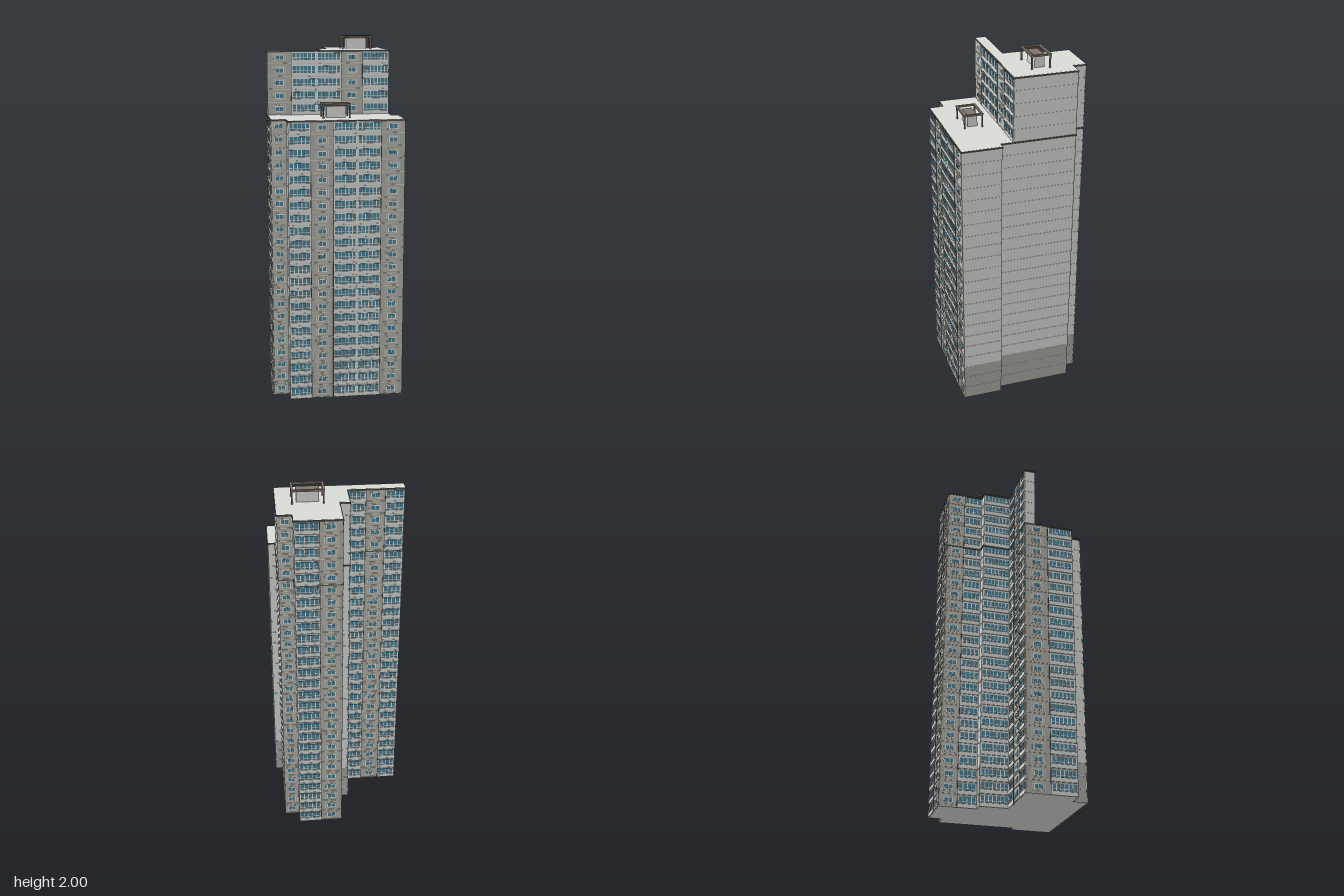
import * as THREE from 'three';
import { mergeGeometries } from 'three/addons/utils/BufferGeometryUtils.js';

const mat = (name, color) => Object.assign(new THREE.MeshStandardMaterial({ color }), { name });

const FLOOR = 1.92 / 27, LOW = 22, HIGH = 27, BASE = 3;

// Plan corners [x, z], going round so that each edge runs left to right seen from outside
const P = {
  I: [-0.295, 0.279], H: [0.342, 0.279], G: [0.342, 0.06], F: [0.303, 0.06],
  D: [0.303, -0.363], C: [0.223, -0.363], B: [0.223, -0.437], A: [-0.02, -0.437],
  O: [-0.02, -0.235], N: [-0.074, -0.235], M: [-0.074, -0.074], L: [-0.38, -0.074],
  K: [-0.38, 0.2], J: [-0.295, 0.2],
  S: [-0.38, -0.017], T: [0.303, -0.017], // ends of the step between the two roofs
};
const lowPlan = [...'IHGFDCBAONMLKJ'].map((k) => P[k]);
const highPlan = [...'STDCBAONML'].map((k) => P[k]);

export function createModel() {
  const m = {
    wall: mat('light wall', 0xd8dad6),
    base: mat('base grey', 0xa7a7a2),
    panel: mat('panel grey', 0xadaca5),
    trim: mat('dark trim', 0x58534f),
    frame: mat('window frame', 0xe6e5e0),
    glass: mat('blue glass', 0x4b8298),
    band: mat('beige band', 0xcfc8bb),
    brown: mat('brown cap', 0x80746c),
  };
  const model = new THREE.Group();
  model.name = 'apartmentTower';
  const tower = new THREE.Group();
  tower.name = 'tower';
  tower.rotation.y = -0.447;
  model.add(tower);

  // Vertical prism over a plan; the material may be a [caps, sides] pair
  const prism = (name, plan, y0, y1, material) => {
    const shape = new THREE.Shape(plan.map(([x, z]) => new THREE.Vector2(x, -z)));
    const geo = new THREE.ExtrudeGeometry(shape, { depth: y1 - y0, bevelEnabled: false });
    geo.rotateX(-Math.PI / 2).translate(0, y0, 0);
    const mesh = new THREE.Mesh(geo, material);
    mesh.name = name;
    tower.add(mesh);
  };

  // Push every edge of a plan outward by d
  const normal = (s, t) => [-Math.sign(Math.round((t[1] - s[1]) * 1e3)), Math.sign(Math.round((t[0] - s[0]) * 1e3))];
  const grow = (plan, d) => plan.map((p, i) => {
    const n1 = normal(plan.at(i - 1), p), n2 = normal(p, plan[(i + 1) % plan.length]);
    return [p[0] + d * (n1[0] + n2[0]), p[1] + d * (n1[1] + n2[1])];
  });

  // Collects boxes by colour, then makes one mesh for each colour
  const collector = () => {
    const bins = {};
    return {
      box(key, w, h, d, x, y, z) {
        (bins[key] ??= []).push(new THREE.BoxGeometry(w, h, d).translate(x, y, z));
      },
      build(name) {
        const group = new THREE.Group();
        group.name = name;
        for (const key in bins) {
          const mesh = new THREE.Mesh(mergeGeometries(bins[key]), m[key]);
          mesh.name = name + key[0].toUpperCase() + key.slice(1);
          group.add(mesh);
        }
        return group;
      },
    };
  };

  // Bay with one small window per floor, set in an outlined field
  const panelBay = (c, x0, x1, f0, f1) => {
    const w = x1 - x0, x = (x0 + x1) / 2;
    const fw = Math.min(0.05, w * 0.56), pane = fw * 0.38;
    const split = Math.max(f0, BASE);
    if (f0 < BASE) c.box('base', w, (BASE - f0) * FLOOR, 0.004, x, (f0 + BASE) / 2 * FLOOR, 0.001);
    c.box('panel', w, (f1 - split) * FLOOR, 0.004, x, (split + f1) / 2 * FLOOR, 0.001);
    for (let f = f0; f < f1; f++) {
      const y = (f + 0.53) * FLOOR;
      c.box('band', fw + 0.022, 0.046, 0.004, x, y, 0.0015);
      c.box(f < BASE ? 'base' : 'panel', fw + 0.015, 0.04, 0.004, x, y, 0.0022);
      c.box('frame', fw, 0.03, 0.004, x, y, 0.003);
      for (const s of [-1, 1]) c.box('glass', pane, 0.022, 0.004, x + s * fw * 0.22, y, 0.004);
      c.box('band', w, 0.004, 0.005, x, (f + 0.04) * FLOOR, 0.003);
    }
  };

  // Glazed balcony bay: light parapets with a mullioned glass strip per floor
  const balconyBay = (c, x0, x1, f0, f1) => {
    const w = x1 - x0, x = (x0 + x1) / 2, gw = w - 0.012;
    const n = Math.max(2, Math.round(gw / 0.021));
    for (let f = f0; f < f1; f++) {
      const y = (f + 0.58) * FLOOR;
      c.box('glass', gw, 0.038, 0.004, x, y, 0.002);
      for (let i = 0; i <= n; i++) c.box('frame', 0.004, 0.038, 0.004, x - gw / 2 + gw * i / n, y, 0.004);
      c.box('frame', gw, 0.003, 0.004, x, y - 0.008, 0.0035);
      c.box('wall', w, 0.02, 0.005, x, (f + 0.16) * FLOOR, 0.003);
      c.box('band', w, 0.004, 0.005, x, (f + 0.02) * FLOOR, 0.004);
    }
  };

  // Blank wall with a slim ledge at every floor
  const blankBay = (c, x0, x1, f0, f1) => {
    for (let f = f0 + 1; f < f1; f++) {
      c.box('wall', x1 - x0, 0.003, 0.002, (x0 + x1) / 2, f * FLOOR, 0.0005);
    }
  };

  const kinds = { p: panelBay, b: balconyBay, w: blankBay };

  // Dress the wall from a to b with bays given as [kind, relative width]
  const facade = (name, a, b, f0, f1, bays) => {
    const c = collector();
    const len = Math.hypot(b[0] - a[0], b[1] - a[1]);
    const total = bays.reduce((s, bay) => s + bay[1], 0);
    let x = 0;
    bays.forEach(([kind, share], i) => {
      const next = x + len * share / total;
      kinds[kind](c, x, next, f0, f1);
      // Dividers: light between two balconies, dark elsewhere
      if (i) {
        const light = kind === 'b' && bays[i - 1][0] === 'b';
        c.box(light ? 'wall' : 'trim', light ? 0.008 : 0.003, (f1 - f0) * FLOOR, 0.006, x, (f0 + f1) / 2 * FLOOR, 0.003);
      }
      x = next;
    });
    const group = c.build(name);
    group.position.set(a[0], 0, a[1]);
    group.rotation.y = Math.atan2(a[1] - b[1], b[0] - a[0]);
    tower.add(group);
  };

  // Main masses, cornices and roofs
  const lowY = LOW * FLOOR, highY = HIGH * FLOOR, baseY = BASE * FLOOR;
  prism('plinth', lowPlan, 0, baseY, [m.wall, m.base]);
  prism('lowerBlock', lowPlan, baseY, lowY, m.wall);
  prism('upperBlock', highPlan, lowY, highY, m.wall);
  for (const [name, plan, y] of [['lower', lowPlan, lowY], ['upper', highPlan, highY]]) {
    prism(name + 'Cornice', grow(plan, 0.005), y - 0.006, y + 0.002, m.trim);
    prism(name + 'Roof', plan, y, y + 0.003, m.wall);
  }

  // Front
  facade('frontFacade', P.I, P.H, 0, LOW, [['b', 0.122], ['p', 0.122], ['b', 0.131], ['b', 0.131], ['p', 0.131]]);
  facade('frontRecess', P.K, P.J, 0, LOW, [['p', 1]]);
  facade('upperFront', P.S, P.T, LOW, HIGH, [['p', 0.133], ['b', 0.14], ['b', 0.14], ['p', 0.12], ['b', 0.15]]);
  // Blank end walls
  facade('endWallFront', P.H, P.G, 0, LOW, [['w', 1]]);
  facade('endWallStep', P.G, P.F, 0, LOW, [['w', 1]]);
  facade('endWallRear', P.F, P.D, 0, LOW, [['w', 1]]);
  facade('upperEndWall', P.T, P.D, LOW, HIGH, [['w', 1]]);
  facade('rearStepWall', P.C, P.B, 0, HIGH, [['w', 1]]);
  facade('rearNotchWall', P.O, P.N, 0, HIGH, [['w', 1]]);
  facade('recessWall', P.J, P.I, 0, LOW, [['w', 1]]);
  facade('upperStripEnd', P.L, P.S, LOW, HIGH, [['w', 1]]);
  // Back and the far side
  facade('rearRecess', P.D, P.C, 0, HIGH, [['p', 1]]);
  facade('rearFacade', P.B, P.A, 0, HIGH, [['b', 1.1], ['p', 1]]);
  facade('wingSide', P.A, P.O, 0, HIGH, [['p', 1], ['b', 1.1]]);
  facade('courtSide', P.N, P.M, 0, HIGH, [['b', 1]]);
  facade('courtRear', P.M, P.L, 0, HIGH, [['b', 1], ['p', 1], ['b', 1]]);
  facade('farSide', P.L, P.K, 0, LOW, [['p', 1], ['b', 1.1]]);

  // Rooftop hut inside an open frame on four posts
  const roofHouse = (name, x, z, y, w, d, hutW, top) => {
    const c = collector(), h = top - y, t = 0.012;
    c.box('wall', hutW, h - 0.018, 0.054, 0, (h - 0.018) / 2, 0);
    c.box('brown', hutW + 0.002, 0.005, 0.056, 0, h - 0.0155, 0);
    for (const s of [-1, 1]) {
      c.box('brown', w, 0.01, t, 0, h - 0.005, s * (d - t) / 2);
      c.box('brown', t, 0.01, d - 2 * t, s * (w - t) / 2, h - 0.005, 0);
      for (const r of [-1, 1]) c.box('brown', 0.008, h - 0.01, 0.008, s * (w - t) / 2, (h - 0.01) / 2, r * (d - t) / 2);
    }
    const group = c.build(name);
    group.position.set(x, y, z);
    tower.add(group);
  };
  roofHouse('lowerRoofHouse', -0.019, 0.128, lowY, 0.157, 0.111, 0.106, 1.645);
  roofHouse('upperRoofHouse', 0.139, -0.189, highY, 0.172, 0.112, 0.117, 2.0);

  return model;
}
